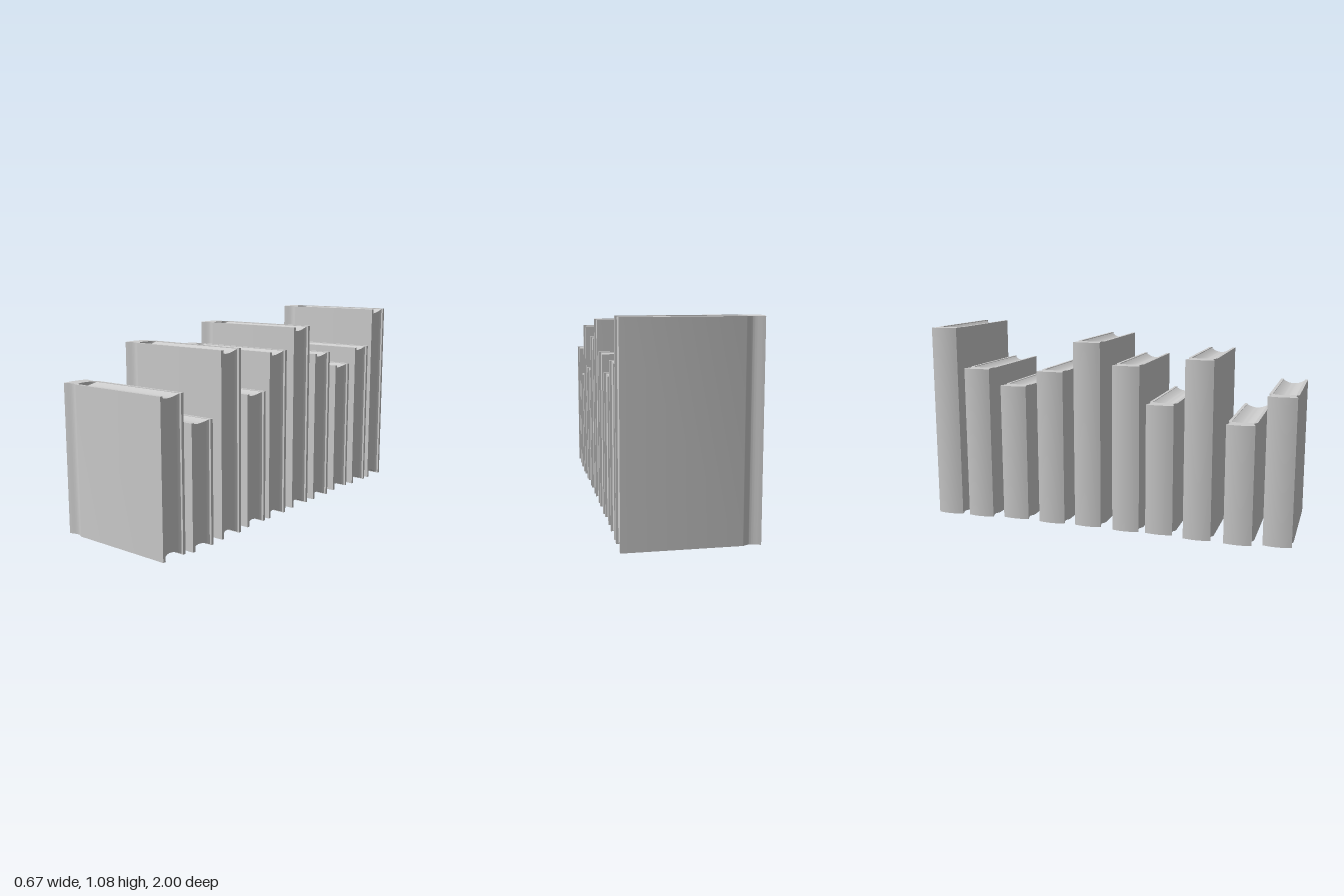
import * as THREE from 'three';
import { toCreasedNormals } from 'three/addons/utils/BufferGeometryUtils.js';

const material = new THREE.MeshStandardMaterial({ color: 0xcccccc });
const HALF = 0.075;   // half thickness of a book
const INNER = 0.059;  // half thickness between the boards

// [centre z, bottom y, top y] of each book, front to back
const BOOKS = [
  [0.925, 0.01, 0.783], [0.722, 0, 0.63], [0.507, 0.005, 0.952], [0.302, 0.015, 0.711],
  [0.118, 0.015, 0.908], [-0.096, 0.022, 1.023], [-0.306, 0.022, 0.861],
  [-0.52, 0.028, 0.775], [-0.735, 0.022, 0.861], [-0.925, 0.022, 1.08],
];

// Cover: two boards, hinge grooves and a rounded spine in one cross-section
function coverGeometry(height) {
  const s = new THREE.Shape();
  s.moveTo(0.335, HALF);
  s.lineTo(-0.232, HALF);
  s.bezierCurveTo(-0.25, HALF, -0.255, 0.061, -0.272, 0.061);
  s.bezierCurveTo(-0.29, 0.061, -0.305, 0.07, -0.326, 0.074);
  s.quadraticCurveTo(-0.349, 0, -0.326, -0.074);
  s.bezierCurveTo(-0.305, -0.07, -0.29, -0.061, -0.272, -0.061);
  s.bezierCurveTo(-0.255, -0.061, -0.25, -HALF, -0.232, -HALF);
  s.lineTo(0.335, -HALF);
  s.lineTo(0.335, -INNER);
  s.lineTo(-0.235, -INNER);
  s.bezierCurveTo(-0.27, -0.045, -0.27, 0.045, -0.235, INNER);
  s.lineTo(0.335, INNER);
  s.closePath();
  const g = new THREE.ExtrudeGeometry(s, { depth: height, bevelEnabled: false, curveSegments: 10 });
  g.rotateX(-Math.PI / 2);
  return toCreasedNormals(g, 0.5);
}

// Page block: hollowed along the fore edge, top and bottom, rounded at the spine
function pagesGeometry(height) {
  const g = new THREE.BoxGeometry(2, 2, 2, 1, 1, 14);
  const p = g.attributes.position;
  for (let i = 0; i < p.count; i++) {
    const s = p.getZ(i);
    const bow = 1 - s * s;
    const x = p.getX(i) > 0 ? 0.325 - 0.02 * bow : -0.235 - 0.03 * bow;
    const dip = height * (0.003 + 0.023 * bow);
    p.setXYZ(i, x, p.getY(i) > 0 ? height - dip : dip, s * (INNER + 0.001));
  }
  return toCreasedNormals(g, 0.6);
}

export function createModel() {
  const row = new THREE.Group();
  row.name = 'bookRow';
  BOOKS.forEach(([z, bottom, top], i) => {
    const book = new THREE.Group();
    book.name = `book${i + 1}`;
    const cover = new THREE.Mesh(coverGeometry(top - bottom), material);
    cover.name = 'cover';
    const pages = new THREE.Mesh(pagesGeometry(top - bottom), material);
    pages.name = 'pages';
    book.add(cover, pages);
    book.position.set(0, bottom, z);
    row.add(book);
  });
  return row;
}
